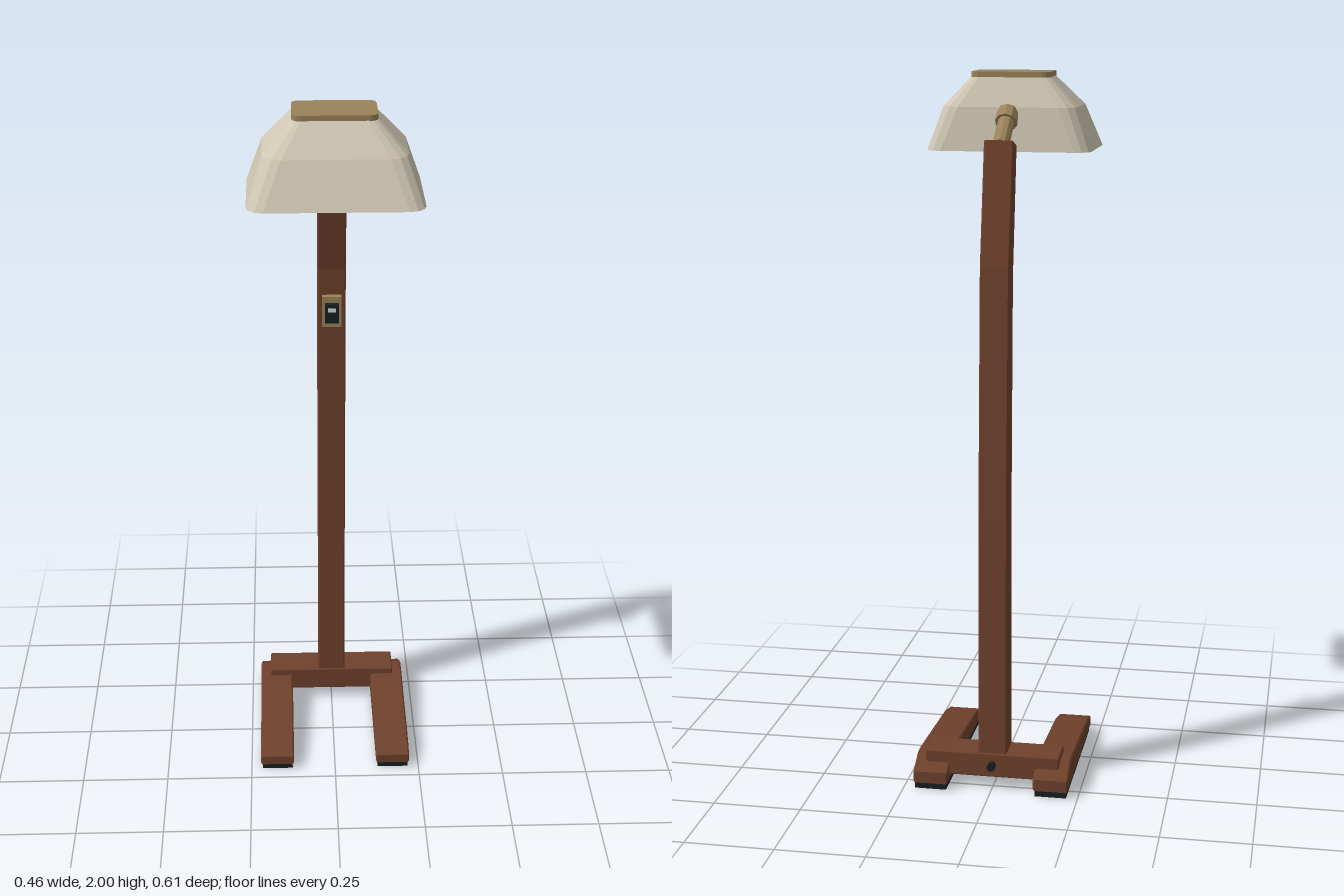
import * as THREE from 'three';
import { RoundedBoxGeometry } from 'three/addons/geometries/RoundedBoxGeometry.js';

const mat = (name, color) => {
  const m = new THREE.MeshStandardMaterial({ color });
  m.name = name;
  return m;
};

// Outline of a rounded rectangle, as [x, z] points
function roundedRect(hw, hd, r, steps = 3) {
  const pts = [];
  for (let c = 0; c < 4; c++) {
    const cx = (c === 0 || c === 3 ? 1 : -1) * (hw - r);
    const cz = (c < 2 ? 1 : -1) * (hd - r);
    for (let i = 0; i <= steps; i++) {
      const a = (c + i / steps) * Math.PI / 2;
      pts.push([cx + r * Math.cos(a), cz + r * Math.sin(a)]);
    }
  }
  return pts;
}

// Horizontal rounded slab whose top is at y
function slab(hw, hd, r, y, thick, z) {
  const shape = new THREE.Shape(roundedRect(hw, hd, r).map(p => new THREE.Vector2(...p)));
  return new THREE.ExtrudeGeometry(shape, { depth: thick, bevelEnabled: false })
    .rotateX(Math.PI / 2).translate(0, y, z);
}

// Side profile in (z, y), extruded across x with a small chamfer
function sideProfile(points, width, bevel) {
  const shape = new THREE.Shape(points.map(p => new THREE.Vector2(...p)));
  return new THREE.ExtrudeGeometry(shape, {
    depth: width - 2 * bevel, bevelEnabled: true, bevelSegments: 1,
    bevelSize: bevel, bevelThickness: bevel, bevelOffset: -bevel,
  }).rotateY(-Math.PI / 2).translate(width / 2 - bevel, 0, 0);
}

// Flat-faceted skin through rings of equal point count
function loft(rings) {
  const pos = [];
  const n = rings[0].length;
  for (let i = 0; i < rings.length - 1; i++) {
    for (let j = 0; j < n; j++) {
      const k = (j + 1) % n;
      const a = rings[i][j], b = rings[i][k], c = rings[i + 1][j], d = rings[i + 1][k];
      pos.push(...a, ...c, ...b, ...b, ...c, ...d);
    }
  }
  const g = new THREE.BufferGeometry();
  g.setAttribute('position', new THREE.Float32BufferAttribute(pos, 3));
  g.computeVertexNormals();
  return g;
}

// Faceted rod between two points
function rod(from, to, r, sides) {
  const a = new THREE.Vector3(...from), b = new THREE.Vector3(...to);
  const dir = b.clone().sub(a);
  const q = new THREE.Quaternion().setFromUnitVectors(new THREE.Vector3(0, 1, 0), dir.clone().normalize());
  const mid = a.add(b).multiplyScalar(0.5);
  return new THREE.CylinderGeometry(r, r, dir.length(), sides)
    .applyQuaternion(q).translate(mid.x, mid.y, mid.z);
}

export function createModel() {
  const wood = mat('walnut wood', 0x6f412c);
  const brass = mat('aged brass', 0x9a8359);
  const cream = mat('cream shade', 0xcfc7b3);
  const dark = mat('dark rubber', 0x182022);
  const light = mat('switch mark', 0xdadcd6);
  brass.flatShading = true;

  const group = new THREE.Group();
  const add = (name, geo, material) => {
    const m = new THREE.Mesh(geo, material);
    m.name = name;
    group.add(m);
    return m;
  };
  const box = (w, h, d, x, y, z) => new THREE.BoxGeometry(w, h, d).translate(x, y, z);

  // Sled feet with rubber pads
  const footProfile = [[0.21, 0.018], [0.21, 0.045], [0.14, 0.062], [-0.2, 0.088],
    [-0.24, 0.086], [-0.305, 0.052], [-0.305, 0.018]];
  for (const [side, s] of [['left', 1], ['right', -1]]) {
    add(side + 'Foot', sideProfile(footProfile, 0.099, 0.004).translate(s * 0.1725, 0, 0), wood);
    add(side + 'FootPad', box(0.09, 0.019, 0.505, s * 0.1725, 0.0095, -0.048), dark);
  }

  // Crossbar and rear knob
  add('crossbar', new RoundedBoxGeometry(0.384, 0.07, 0.1, 1, 0.004).translate(0, 0.07, -0.22), wood);
  add('rearKnob', rod([0, 0.072, -0.265], [0, 0.072, -0.29], 0.012, 12), dark);

  // Tapered, forward-leaning post
  const postProfile = [[-0.175, 0.09], [-0.175, 0.78], [-0.153, 1.46], [-0.095, 1.81],
    [-0.15, 1.826], [-0.217, 1.49], [-0.252, 0.78], [-0.263, 0.09]];
  add('post', sideProfile(postProfile, 0.081, 0.003), wood);

  // Switch on the front of the post
  add('switchPlate', box(0.056, 0.092, 0.022, 0, 1.335, -0.149), brass);
  add('switchBody', box(0.04, 0.056, 0.018, 0, 1.335, -0.13), dark);
  add('switchMark', box(0.022, 0.012, 0.004, 0, 1.347, -0.12), light);

  // Angled arm and its collar
  add('arm', rod([0, 1.808, -0.122], [0, 1.89, 0.002], 0.023, 10), brass);
  add('collar', rod([0, 1.865, -0.033], [0, 1.89, 0.002], 0.031, 10), brass);

  // Shade: closed shell, outside going up and inside coming down
  // Each level: y, half width, back z, front z, corner radius
  const levels = [[1.785, 0.232, -0.03, 0.302, 0.045], [1.905, 0.19, -0.01, 0.24, 0.05],
    [1.987, 0.111, 0.027, 0.169, 0.025]];
  const ring = ([y, hw, z0, z1, r], inset) =>
    roundedRect(hw - inset, (z1 - z0) / 2 - inset, r - inset)
      .map(([x, z]) => [x, y, z + (z0 + z1) / 2]);
  const outer = levels.map(l => ring(l, 0));
  const inner = levels.map(l => ring(l, 0.01)).reverse();
  add('shade', loft([...outer, ...inner, outer[0]]), cream);
  add('shadeCap', slab(0.112, 0.072, 0.022, 2.0, 0.015, 0.098), brass);

  // Diffuser panel under the shade with two side strips
  add('diffuser', slab(0.213, 0.154, 0.035, 1.815, 0.006, 0.132), cream);
  for (const s of [1, -1]) {
    add(s > 0 ? 'leftStrip' : 'rightStrip', box(0.022, 0.005, 0.18, s * 0.178, 1.807, 0.125), brass);
  }
  return group;
}
